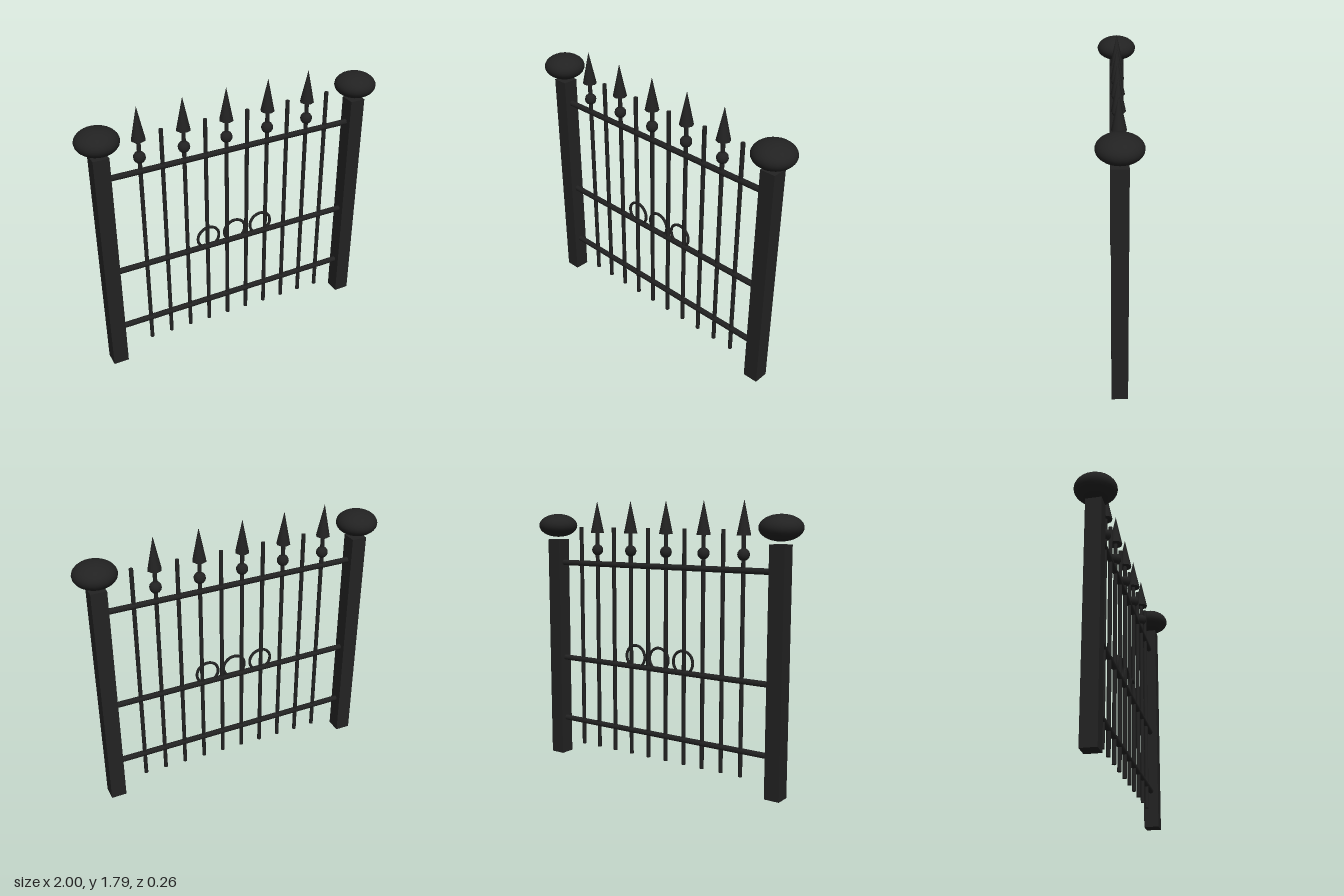
import * as THREE from 'three';

export function createModel() {
  const group = new THREE.Group();
  const iron = new THREE.MeshStandardMaterial({ color: 0x222222 });

  const add = (name, geometry, x, y) => {
    const mesh = new THREE.Mesh(geometry, iron);
    mesh.name = name;
    mesh.position.set(x, y, 0);
    group.add(mesh);
    return mesh;
  };

  // Square posts with flattened ball caps hovering just above them
  const postGeo = new THREE.BoxGeometry(0.1, 1.53, 0.1);
  const capGeo = new THREE.SphereGeometry(0.132, 24, 16).scale(1, 0.6, 1);
  for (const [side, s] of [['left', 1], ['right', -1]]) {
    add(side + 'Post', postGeo, s * 0.868, 0.765);
    add(side + 'PostCap', capGeo, s * 0.868, 1.626);
  }

  // Round horizontal rails between the posts
  const railGeo = new THREE.CylinderGeometry(0.019, 0.019, 1.68, 8).rotateZ(Math.PI / 2);
  [['bottomRail', 0.256], ['middleRail', 0.697], ['topRail', 1.37]].forEach(([name, y]) =>
    add(name, railGeo, 0, y));

  // Upright bars; every second one carries a ball and a spearhead
  const barGeo = new THREE.CylinderGeometry(0.0135, 0.0135, 1.525, 8);
  const ballGeo = new THREE.SphereGeometry(0.038, 12, 8);
  const spearGeo = new THREE.ConeGeometry(0.045, 0.212, 8);
  for (let i = 0; i < 10; i++) {
    const x = -0.622 + i * 0.1417;
    add('bar', barGeo, x, 0.853);
    if (i % 2 === 0) {
      add('barBall', ballGeo, x, 1.465);
      add('spearhead', spearGeo, x, 1.684);
    }
  }

  // Decorative rings standing on the middle rail
  const ringGeo = new THREE.TorusGeometry(0.075, 0.0095, 8, 32);
  for (const x of [-0.19, 0, 0.19]) add('ring', ringGeo, x, 0.765);

  return group;
}
